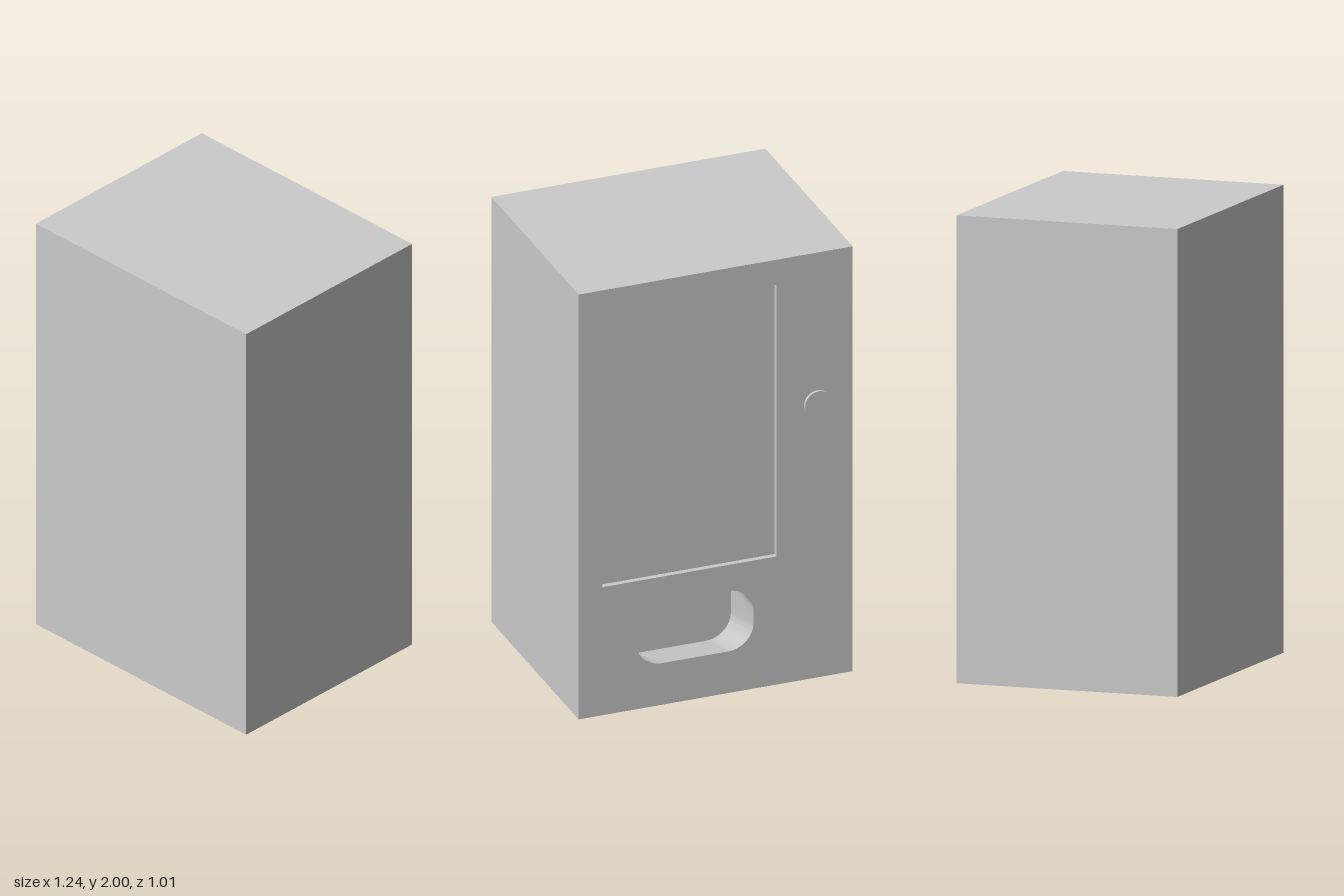
import * as THREE from 'three';
import { toCreasedNormals } from 'three/addons/utils/BufferGeometryUtils.js';

const W = 1.244, H = 2, BACK = 0.494, FRONT = 0.505;
const material = new THREE.MeshStandardMaterial({ color: 0xcccccc });

function addMesh(parent, name, geometry) {
  const mesh = new THREE.Mesh(geometry, material);
  mesh.name = name;
  parent.add(mesh);
  return mesh;
}

// Counter-clockwise rectangle, optionally with rounded corners
function rectPath(x0, y0, x1, y1, r = 0) {
  const s = new THREE.Shape();
  if (!r) {
    return s.moveTo(x0, y0).lineTo(x1, y0).lineTo(x1, y1).lineTo(x0, y1).closePath();
  }
  const q = Math.PI / 2;
  s.moveTo(x0 + r, y0);
  s.absarc(x1 - r, y0 + r, r, -q, 0);
  s.absarc(x1 - r, y1 - r, r, 0, q);
  s.absarc(x0 + r, y1 - r, r, q, 2 * q);
  s.absarc(x0 + r, y0 + r, r, 2 * q, 3 * q);
  return s.closePath();
}

// Recess behind an outline: inward-facing walls and an end face.
// The lower half of the far end may drop, so that the floor slopes.
function addPocket(parent, name, shape, z, depth, drop = 0) {
  const all = shape.getPoints(12);
  const pts = all.filter((p, i) => p.distanceTo(all[(i + 1) % all.length]) > 1e-5);
  const ys = pts.map((p) => p.y);
  const mid = (Math.min(...ys) + Math.max(...ys)) / 2;
  const far = pts.map((p) => new THREE.Vector2(p.x, p.y < mid ? p.y - drop : p.y));
  const pos = [];
  pts.forEach((a, i) => {
    const j = (i + 1) % pts.length, b = pts[j], c = far[j], d = far[i], e = z - depth;
    pos.push(a.x, a.y, z, b.x, b.y, z, c.x, c.y, e);
    pos.push(a.x, a.y, z, c.x, c.y, e, d.x, d.y, e);
  });
  const walls = new THREE.BufferGeometry();
  walls.setAttribute('position', new THREE.Float32BufferAttribute(pos, 3));
  addMesh(parent, name + 'Walls', toCreasedNormals(walls, 0.6));
  addMesh(parent, name + 'End', new THREE.ShapeGeometry(new THREE.Shape(far))).position.z = z - depth;
}

export function createModel() {
  const model = new THREE.Group();
  model.name = 'vendingCabinet';

  // Everything is built facing +z, then turned to face the rear
  const cabinet = new THREE.Group();
  cabinet.name = 'cabinet';
  cabinet.rotation.y = Math.PI;
  model.add(cabinet);

  // Cabinet shell, left open where the panel goes
  const shell = new THREE.BoxGeometry(W, H, BACK + FRONT);
  shell.setIndex(Array.from(shell.index.array).filter((_, i) => i < 24 || i >= 30));
  shell.clearGroups();
  shell.translate(0, H / 2, (BACK - FRONT) / 2);
  addMesh(cabinet, 'cabinetShell', shell);

  // Panel with openings for the display window and the dispensing slot
  const display = rectPath(-0.517, 0.603, 0.277, 1.882);
  const slot = rectPath(-0.36, 0.196, 0.172, 0.48, 0.115);
  const panel = rectPath(-W / 2, 0, W / 2, H);
  panel.holes.push(display, slot);
  addMesh(cabinet, 'panel', new THREE.ShapeGeometry(panel, 12)).position.z = BACK;

  addPocket(cabinet, 'displayWindow', display, BACK, 0.025);
  addPocket(cabinet, 'dispensingSlot', slot, BACK, 0.26, 0.07);

  // Round button
  const button = new THREE.CylinderGeometry(0.062, 0.062, 0.014, 48);
  button.rotateX(Math.PI / 2);
  addMesh(cabinet, 'button', button).position.set(0.463, 1.29, BACK + 0.005);

  return model;
}
